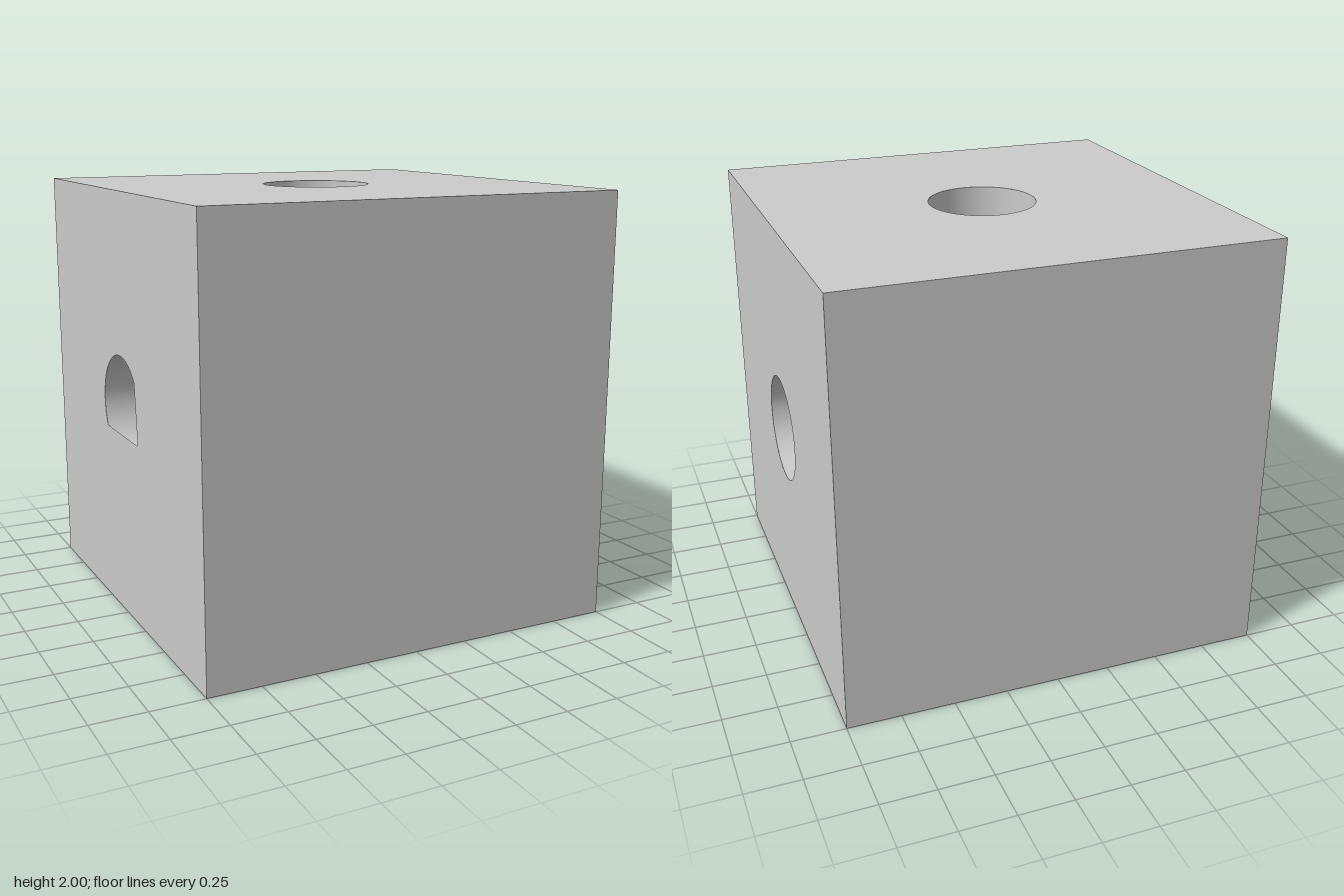
import * as THREE from 'three';
import { ParametricGeometry } from 'three/addons/geometries/ParametricGeometry.js';

const R = 0.25, SEGMENTS = 64;
const rad = THREE.MathUtils.degToRad;

// Square face at distance 1 with an optional opening
function faceGeometry(hole) {
  const square = new THREE.Shape([[-1, -1], [1, -1], [1, 1], [-1, 1]].map(p => new THREE.Vector2(...p)));
  if (hole) square.holes.push(hole);
  return new THREE.ShapeGeometry(square, SEGMENTS).translate(0, 0, 1);
}

// Half of a bore, trimmed where it meets the crossing bore of equal radius
function boreGeometry() {
  return new ParametricGeometry((u, v, target) => {
    const a = -u * Math.PI * 2, x = R * Math.sin(a);
    target.set(x, THREE.MathUtils.lerp(Math.abs(x), 1, v), R * Math.cos(a));
  }, SEGMENTS, 1);
}

export function createModel() {
  const model = new THREE.Group();
  const body = new THREE.Group();
  body.position.y = 1;
  model.add(body);
  const material = new THREE.MeshStandardMaterial({ color: 0xcccccc, side: THREE.DoubleSide });

  const add = (name, geometry, rx, ry, rz) => {
    const mesh = new THREE.Mesh(geometry, material);
    mesh.name = name;
    mesh.rotation.set(rx, ry, rz);
    body.add(mesh);
  };

  const round = new THREE.Path().absarc(0, 0, R, 0, Math.PI * 2);

  // Opening on the right-hand side: arc cut by a flat bottom and a slanted edge
  const clipped = new THREE.Path().absarc(0, 0, R, rad(40), rad(210));
  clipped.lineTo(R * Math.cos(rad(-30)), R * Math.sin(rad(-30)));
  clipped.closePath();

  // Cube faces
  const quarter = Math.PI / 2;
  add('frontFace', faceGeometry(), 0, 0, 0);
  add('backFace', faceGeometry(), 0, Math.PI, 0);
  add('leftFace', faceGeometry(round), 0, quarter, 0);
  add('rightFace', faceGeometry(clipped), 0, -quarter, 0);
  add('topFace', faceGeometry(round), -quarter, 0, 0);
  add('bottomFace', faceGeometry(round), quarter, 0, 0);

  // Crossing bores, four half tubes around the centre
  const bore = boreGeometry();
  ['topBore', 'rightBore', 'bottomBore', 'leftBore'].forEach((name, i) => add(name, bore, 0, 0, i * quarter));

  return model;
}
